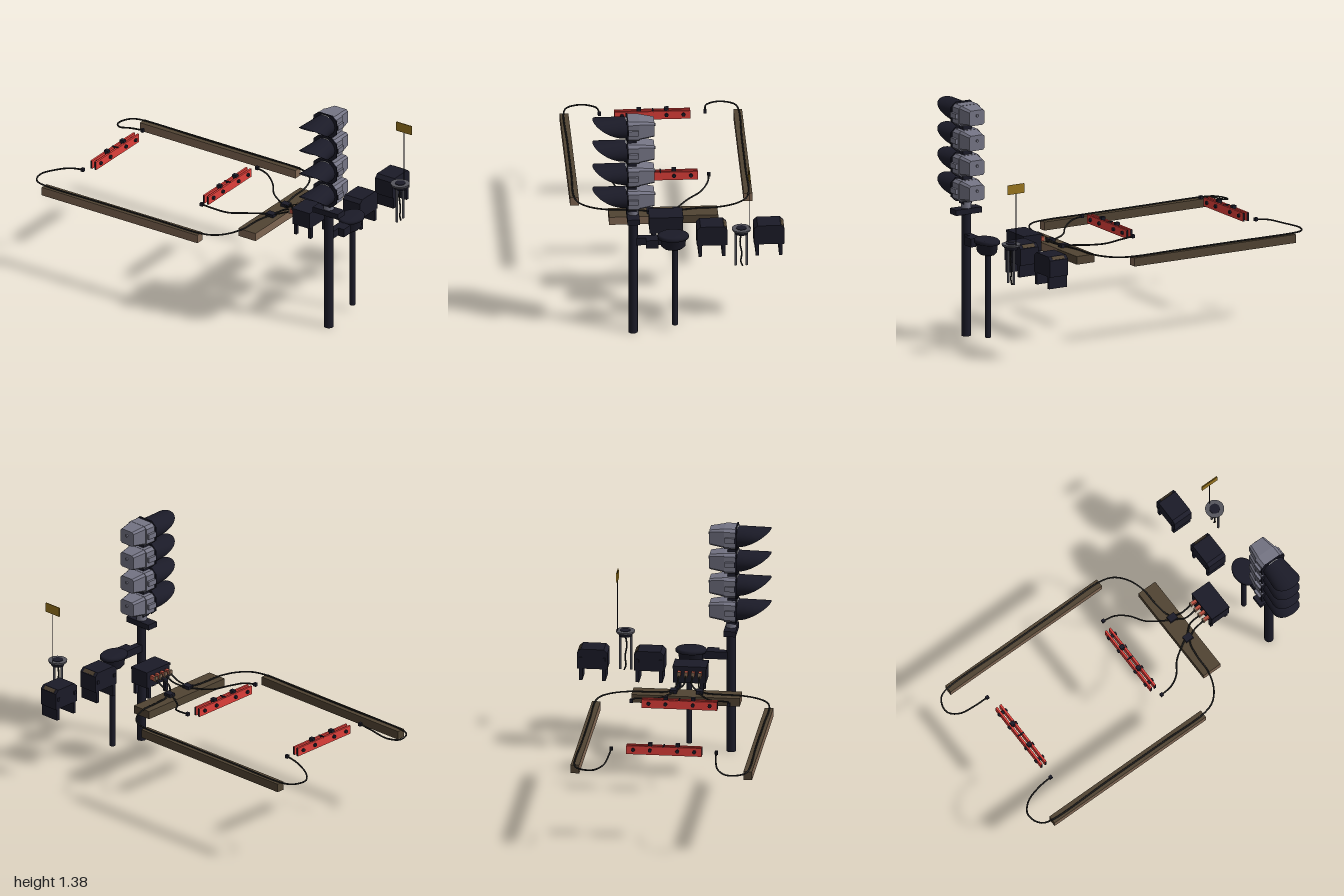
import * as THREE from 'three';

const mat = (name, color, side = THREE.FrontSide) => {
  const m = new THREE.MeshStandardMaterial({ color, side });
  m.name = name;
  return m;
};

export function createModel() {
  const model = new THREE.Group();
  model.name = 'railwaySignalKit';
  const dark = mat('dark paint', 0x1b1b28, THREE.DoubleSide);
  const grey = mat('housing grey', 0x757585);
  const lens = mat('lens', 0xcacac7);
  const wood = mat('wood side', 0x7f6652);
  const woodTop = mat('weathered wood', 0x514433);
  const red = mat('red', 0xe03f3a);
  const cableMat = mat('cable', 0x222222);
  const gold = mat('sign gold', 0x9a761f);
  const plugMat = mat('plug', 0xb8503f);
  const metal = mat('dull metal', 0x55555d);

  const add = (name, geo, material, x = 0, y = 0, z = 0, parent = model) => {
    const m = new THREE.Mesh(geo, material);
    m.name = name;
    m.position.set(x, y, z);
    parent.add(m);
    return m;
  };
  // Box given by its min and max corners
  const box = (name, material, [x0, y0, z0], [x1, y1, z1], parent = model) =>
    add(name, new THREE.BoxGeometry(x1 - x0, y1 - y0, z1 - z0), material,
      (x0 + x1) / 2, (y0 + y1) / 2, (z0 + z1) / 2, parent);
  const tube = (name, pts) => {
    const curve = new THREE.CatmullRomCurve3(pts.map(p => new THREE.Vector3(...p)));
    return add(name, new THREE.TubeGeometry(curve, pts.length * 6, 0.005, 6), cableMat);
  };
  const group = (name, x = 0, y = 0, z = 0) => {
    const g = new THREE.Group();
    g.name = name;
    g.position.set(x, y, z);
    model.add(g);
    return g;
  };

  // Timber beams and the cross sleeper, weathered on top, beneath and behind
  const timber = [wood, woodTop, woodTop, woodTop, wood, woodTop];
  const oldTimber = [woodTop, woodTop, woodTop, woodTop, wood, woodTop];
  box('backBeam', timber, [-0.9, 0.47, -0.45], [0.18, 0.52, -0.4]);
  box('frontBeam', timber, [-0.9, 0.47, 0.545], [0.18, 0.52, 0.595]);
  box('sleeperFront', timber, [0.32, 0.47, -0.02], [0.44, 0.518, 0.385]);
  box('sleeperBack', oldTimber, [0.32, 0.47, -0.24], [0.44, 0.518, -0.02]);

  // Cables, mirrored about z = 0.072
  for (const s of [-1, 1]) {
    const mid = 0.072, y = 0.525;
    const at = (x, h, d) => [x, h, mid + s * d];
    tube('beamCable', [
      at(-0.77, 0.58, 0.303), at(-0.85, 0.568, 0.308), at(-0.94, 0.54, 0.33), at(-0.99, 0.527, 0.38),
      at(-0.99, y, 0.43), at(-0.96, y, 0.48), at(-0.9, y, 0.5), at(-0.5, y, 0.5), at(-0.1, y, 0.5),
      at(0.18, y, 0.5), at(0.26, y, 0.475), at(0.32, y, 0.41), at(0.355, y, 0.31),
      at(0.36, y, 0.2), at(0.38, y, 0.1), at(0.43, 0.54, 0.065), at(0.51, 0.575, 0.06)]);
    tube('railCable', [
      at(0.045, 0.58, 0.28), at(0.12, 0.568, 0.268), at(0.19, 0.545, 0.225), at(0.25, 0.528, 0.15),
      at(0.32, y, 0.1), at(0.39, 0.528, 0.06), at(0.44, 0.55, 0.022), at(0.51, 0.575, 0.02)]);
    add('cableEnd', new THREE.BoxGeometry(0.018, 0.02, 0.018), dark, ...at(-0.765, 0.58, 0.303));
    add('cableEnd', new THREE.BoxGeometry(0.018, 0.02, 0.018), dark, ...at(0.045, 0.58, 0.28));
    for (const d of [0.02, 0.06]) {
      add('plug', new THREE.BoxGeometry(0.036, 0.025, 0.018), plugMat, ...at(0.53, 0.58, d));
      add('plugCollar', new THREE.BoxGeometry(0.01, 0.032, 0.02), wood, ...at(0.507, 0.58, d));
    }
    add('cableClamp', new THREE.BoxGeometry(0.05, 0.02, 0.04), dark, ...at(0.385, 0.527, 0.075));
  }

  // Bolted red rail connectors with dark plate ends
  const plate = [red, red, red, red, dark, dark];
  for (const x of [-0.75, 0.03]) {
    const rail = group('railConnector', x, 0, 0);
    for (const s of [-1, 1])
      box('redPlate', plate, [s * 0.014 - 0.006, 0.552, -0.145], [s * 0.014 + 0.006, 0.602, 0.29], rail);
    for (const z of [-0.105, -0.008, 0.15, 0.247]) {
      const b = add('bolt', new THREE.CylinderGeometry(0.011, 0.011, 0.06, 8), dark, 0, 0.58, z, rail);
      b.rotation.z = Math.PI / 2;
    }
    box('spacer', dark, [-0.02, 0.595, 0.066], [0.02, 0.606, 0.074], rail);
    for (const z of [-0.008, 0.15])
      box('topClip', dark, [-0.013, 0.595, z - 0.012], [0.013, 0.618, z + 0.012], rail);
  }

  // Junction box on four legs
  const junction = group('junctionBox', 0.604, 0, 0.07);
  box('body', dark, [-0.06, 0.52, -0.095], [0.06, 0.612, 0.095], junction);
  box('lid', dark, [-0.063, 0.607, -0.098], [0.063, 0.62, 0.098], junction);
  for (const x of [-0.05, 0.05])
    for (const z of [-0.07, 0.07])
      box('leg', dark, [x - 0.009, 0.45, z - 0.011], [x + 0.009, 0.525, z + 0.011], junction);

  // Two equipment cases with chamfered lids and plate legs
  const caseShape = new THREE.Shape([[-0.087, 0.52], [0.087, 0.52], [0.087, 0.618], [0.066, 0.638],
    [-0.066, 0.638], [-0.087, 0.618]].map(p => new THREE.Vector2(...p)));
  const caseGeo = new THREE.ExtrudeGeometry(caseShape, { depth: 0.12, bevelEnabled: false });
  caseGeo.translate(0, 0, -0.06).rotateY(Math.PI / 2);
  for (const z of [-0.51, -0.183]) {
    const c = group('equipmentCase', 0.776, 0, z);
    add('body', caseGeo, dark, 0, 0, 0, c);
    for (const s of [-1, 1]) {
      box('plateLeg', dark, [-0.06, 0.45, s * 0.067 - 0.01], [0.06, 0.525, s * 0.067 + 0.01], c);
      box('latch', dark, [-0.066, 0.57, s * 0.067 - 0.008], [-0.058, 0.59, s * 0.067 + 0.008], c);
    }
    // Worn strip on the rear chamfer
    const strip = add('wornStrip', new THREE.BoxGeometry(0.08, 0.004, 0.022), woodTop, 0, 0.628, -0.0765, c);
    strip.rotation.x = -Math.PI / 4;
  }

  // Round stand with legs, whip aerial and small flag plate
  const stand = group('aerialStand', 0.943, 0, -0.345);
  add('dish', new THREE.CylinderGeometry(0.055, 0.052, 0.012, 24), metal, 0, 0.675, 0, stand);
  add('dishNeck', new THREE.CylinderGeometry(0.045, 0.036, 0.022, 24), dark, 0, 0.659, 0, stand);
  add('dishCentre', new THREE.CylinderGeometry(0.03, 0.03, 0.006, 20), dark, 0, 0.681, 0, stand);
  for (const z of [-0.03, 0.033])
    add('leg', new THREE.CylinderGeometry(0.007, 0.007, 0.21, 8), metal, 0, 0.55, z, stand);
  add('aerial', new THREE.CylinderGeometry(0.0024, 0.0024, 0.37, 6), dark, -0.004, 0.855, -0.045, stand);
  box('flagPlate', gold, [-0.058, 0.985, -0.043], [0.05, 1.04, -0.0415], stand);
  box('flagBack', gold, [-0.058, 0.985, -0.0485], [0.05, 1.04, -0.047], stand);
  tube('hangingCable', [[0.943, 0.65, -0.345], [0.943, 0.59, -0.337], [0.943, 0.52, -0.347],
    [0.943, 0.47, -0.342], [0.943, 0.44, -0.352]]);

  // Oval drum on its own post, with an arm to the mast
  const drum = group('drum', 0.87, 0, 0.042);
  const profile = [[0, 0.53], [0.6, 0.53], [0.78, 0.545], [0.82, 0.59], [1, 0.595], [1, 0.61], [0.9, 0.618], [0, 0.618]];
  const drumGeo = new THREE.LatheGeometry(profile.map(p => new THREE.Vector2(...p)), 28);
  drumGeo.scale(0.068, 1, 0.09);
  add('drumBody', drumGeo, dark, 0, 0, 0, drum);
  add('drumPost', new THREE.CylinderGeometry(0.017, 0.017, 0.49, 12), dark, 0, 0.285, -0.011, drum);
  box('arm', dark, [0.85, 0.56, 0.1], [0.89, 0.605, 0.26]);
  box('armSide', dark, [0.89, 0.555, 0.13], [0.925, 0.605, 0.2]);

  // Signal mast
  const mx = 0.87, mz = 0.272;
  add('mast', new THREE.CylinderGeometry(0.027, 0.027, 0.76, 20), dark, mx, 0.38, mz);
  box('bracket', dark, [0.783, 0.722, 0.238], [0.957, 0.755, 0.308]);
  add('neck', new THREE.CylinderGeometry(0.03, 0.03, 0.04, 16), grey, mx, 0.772, mz);
  box('spine', dark, [mx - 0.03, 0.78, 0.255], [mx + 0.03, 1.345, 0.303]);

  // Visor: a tube cut obliquely, long at the top and vanishing at the bottom
  const visorGeo = new THREE.CylinderGeometry(1, 1, 1, 36, 5, true);
  const p = visorGeo.attributes.position;
  for (let i = 0; i < p.count; i++) {
    const c = p.getZ(i), s = p.getX(i), t = p.getY(i) + 0.5;
    const z = t * (0.004 + 0.196 * Math.pow(Math.max(0, (c + 0.9) / 1.9), 0.68));
    p.setXYZ(i, s * (0.068 + 0.1 * z), c * (0.063 - 0.04 * z), z);
  }
  visorGeo.computeVertexNormals();

  // Slab with cut corners (c = uncut share of a side), from z0 to z1, narrowed at the rear
  const slab = (rx, ry, c, z0, z1, rear = 1) => {
    const corners = [[1, -c], [1, c], [c, 1], [-c, 1], [-1, c], [-1, -c], [-c, -1], [c, -1]];
    const shape = new THREE.Shape(corners.map(([x, y]) => new THREE.Vector2(x * rx, y * ry)));
    const g = new THREE.ExtrudeGeometry(shape, { depth: z1 - z0, bevelEnabled: false });
    const v = g.attributes.position;
    for (let i = 0; i < v.count; i++) {
      const k = v.getZ(i) > 0 ? 1 : rear;
      v.setXYZ(i, v.getX(i) * k, v.getY(i) * k, v.getZ(i) + z0);
    }
    g.computeVertexNormals();
    return g;
  };
  const housingGeo = slab(0.072, 0.061, 0.75, 0.238, 0.304);
  const rearGeo = slab(0.066, 0.058, 0.78, 0.152, 0.24, 0.77);
  const rimGeo = slab(0.08, 0.07, 0.6, 0.303, 0.311);

  // Four lamp heads
  for (let i = 0; i < 4; i++) {
    const head = group('lampHead', mx, 0.862 + i * 0.148, 0);
    add('housing', housingGeo, grey, 0, 0, 0, head);
    add('rearHousing', rearGeo, grey, 0, 0.002, 0, head);
    add('rim', rimGeo, dark, 0, 0, 0, head);
    const glass = add('lens', new THREE.CylinderGeometry(0.064, 0.064, 0.006, 32), lens, 0, 0, 0.312, head);
    glass.rotation.x = Math.PI / 2;
    add('visor', visorGeo, dark, 0, 0, 0.305, head);
    const knob = add('rearKnob', new THREE.CylinderGeometry(0.008, 0.008, 0.012, 10), grey, 0, 0.015, 0.149, head);
    knob.rotation.x = Math.PI / 2;
    for (const s of [-1, 1]) {
      box('hinge', grey, [s * 0.078 - 0.009, -0.015, 0.245], [s * 0.078 + 0.009, 0.015, 0.3], head);
      box('hingeFace', dark, [s * 0.078 - 0.009, -0.015, 0.3], [s * 0.078 + 0.009, 0.015, 0.304], head);
    }
  }
  return model;
}
